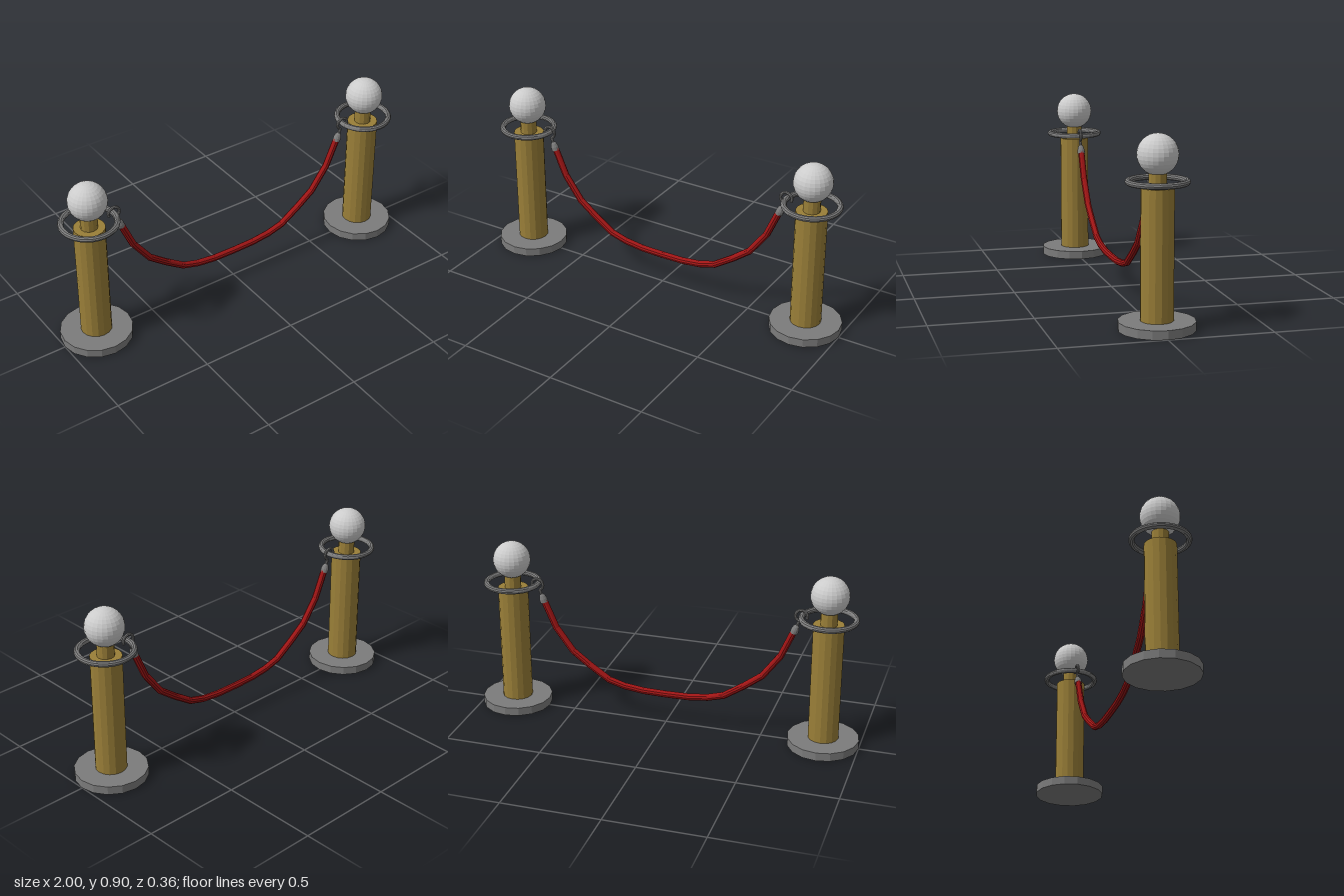
import * as THREE from 'three';

const paint = (color) => new THREE.MeshStandardMaterial({ color, flatShading: true });
const brass = paint(0x9a7f38);
const darkMetal = paint(0x7c7c7c);
const paleMetal = paint(0xcccccc);
const velvet = paint(0xa01515);

const POST_X = 0.82;

function add(group, name, geometry, material, x = 0, y = 0, z = 0) {
  const mesh = new THREE.Mesh(geometry, material);
  mesh.name = name;
  mesh.position.set(x, y, z);
  group.add(mesh);
  return mesh;
}

// Upright cylinder placed by its bottom and top heights
function column(group, name, radius, bottom, top, sides, material) {
  const geometry = new THREE.CylinderGeometry(radius, radius, top - bottom, sides);
  return add(group, name, geometry, material, 0, (bottom + top) / 2);
}

function makePost() {
  const post = new THREE.Group();
  column(post, 'base', 0.18, 0, 0.043, 16, darkMetal);
  column(post, 'shaft', 0.077, 0.043, 0.652, 16, brass);
  column(post, 'neck', 0.042, 0.652, 0.73, 12, brass);
  add(post, 'ballFinial', new THREE.SphereGeometry(0.095, 24, 16), paleMetal, 0, 0.802);
  const ring = add(post, 'hangingRing', new THREE.TorusGeometry(0.133, 0.0145, 10, 32), darkMetal, 0, 0.679);
  ring.rotation.x = Math.PI / 2;
  return post;
}

// Hook curling over the ring, with a tapered cap gripping the rope; side is -1 or 1
function makeClasp(side) {
  const clasp = new THREE.Group();
  const points = [];
  for (let i = 0; i <= 10; i++) {
    const a = THREE.MathUtils.degToRad(205 - i * 27.5);
    points.push(new THREE.Vector3(-side * (-0.685 + 0.03 * Math.cos(a)), 0.68 + 0.03 * Math.sin(a), 0));
  }
  points.push(new THREE.Vector3(side * 0.668, 0.637, 0), new THREE.Vector3(side * 0.664, 0.615, 0));
  const path = new THREE.CatmullRomCurve3(points);
  add(clasp, 'hook', new THREE.TubeGeometry(path, 30, 0.0075, 8), darkMetal);

  const profile = [[0, -0.024], [0.02, -0.024], [0.02, -0.006], [0.015, 0.012], [0.008, 0.022], [0, 0.023]];
  const cap = add(clasp, 'ropeCap',
    new THREE.LatheGeometry(profile.map(([r, y]) => new THREE.Vector2(r, y)), 12),
    darkMetal, side * 0.658, 0.61);
  cap.rotation.z = side * -0.32;
  return clasp;
}

// Sagging rope, with one tube section per control point
function makeRope() {
  const half = [[0.655, 0.605], [0.59, 0.455], [0.5, 0.333], [0.41, 0.265], [0.305, 0.195], [0.22, 0.171], [0.12, 0.159]];
  const points = [
    ...half.map(([x, y]) => new THREE.Vector3(-x, y, 0)),
    new THREE.Vector3(0, 0.157, 0),
    ...half.slice().reverse().map(([x, y]) => new THREE.Vector3(x, y, 0)),
  ];
  const path = new THREE.CatmullRomCurve3(points);
  path.getPointAt = (t, target) => path.getPoint(t, target);
  path.getTangentAt = (t, target) => path.getTangent(t, target);
  return new THREE.TubeGeometry(path, points.length - 1, 0.0175, 10);
}

export function createModel() {
  const model = new THREE.Group();
  model.name = 'ropeBarrier';
  for (const side of [-1, 1]) {
    const label = side > 0 ? 'left' : 'right';
    const post = makePost();
    post.name = label + 'Post';
    post.position.x = side * POST_X;
    const clasp = makeClasp(side);
    clasp.name = label + 'Clasp';
    model.add(post, clasp);
  }
  add(model, 'rope', makeRope(), velvet);
  return model;
}
